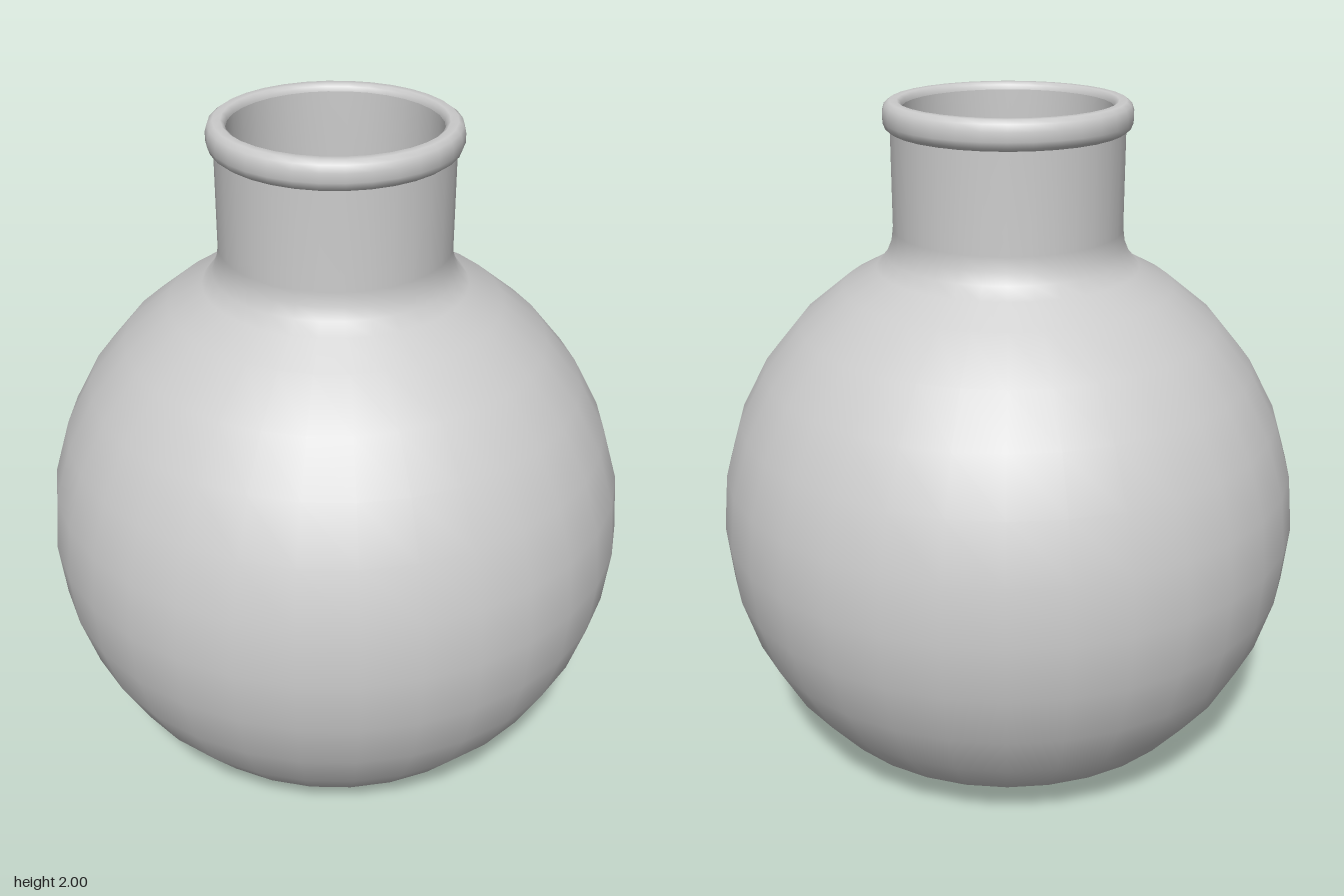
import * as THREE from 'three';

const SIDES = 32;
const STEP = Math.PI / 16;
const CENTRE = 0.76;

const glass = new THREE.MeshStandardMaterial({ color: 0xcccccc });
const blue = new THREE.MeshStandardMaterial({ color: 0x44b4e0 });

// Points on the round belly, from one latitude step to another
function belly(radius, from, to) {
  const points = [];
  for (let i = from; i <= to; i++) {
    points.push([radius * Math.cos(i * STEP), CENTRE + radius * Math.sin(i * STEP)]);
  }
  return points;
}

function turned(name, profile, material) {
  const points = profile.map(([r, y]) => new THREE.Vector2(r, y));
  const mesh = new THREE.Mesh(new THREE.LatheGeometry(points, SIDES), material);
  mesh.name = name;
  return mesh;
}

export function createModel() {
  const model = new THREE.Group();
  model.name = 'flask';

  // Outer wall: flattened base, round belly, curved shoulder, straight neck
  model.add(turned('outerWall', [
    [0, 0], [0.16, 0.005], [0.33, 0.022], [0.48, 0.065],
    ...belly(0.862, -4, 5),
    [0.38, 1.53], [0.35, 1.565], [0.335, 1.6], [0.33, 1.64], [0.33, 1.92],
  ], glass));

  // Rounded lip around the mouth
  model.add(turned('rim', [
    [0.33, 1.918], [0.343, 1.927], [0.35, 1.945], [0.35, 1.97],
    [0.344, 1.99], [0.33, 2], [0.308, 2], [0.298, 1.993], [0.295, 1.98],
  ], glass));

  // Inner wall, running down from the mouth so that it faces inward
  model.add(turned('innerWall', [
    [0, 0.04], [0.32, 0.06], [0.46, 0.1],
    ...belly(0.825, -4, 5),
    [0.35, 1.5], [0.305, 1.57], [0.295, 1.64], [0.295, 1.98],
  ].reverse(), glass));

  // Liquid filling the lower half
  const liquid = new THREE.Group();
  liquid.name = 'liquid';
  liquid.add(turned('liquidBody', [
    [0, 0.05], [0.31, 0.07], [0.45, 0.11], ...belly(0.815, -4, 1),
  ], blue));
  const surface = new THREE.Mesh(
    new THREE.CircleGeometry(0.815 * Math.cos(STEP), SIDES), blue);
  surface.name = 'liquidSurface';
  surface.rotation.x = -Math.PI / 2;
  surface.position.y = CENTRE + 0.815 * Math.sin(STEP);
  liquid.add(surface);
  model.add(liquid);

  return model;
}
